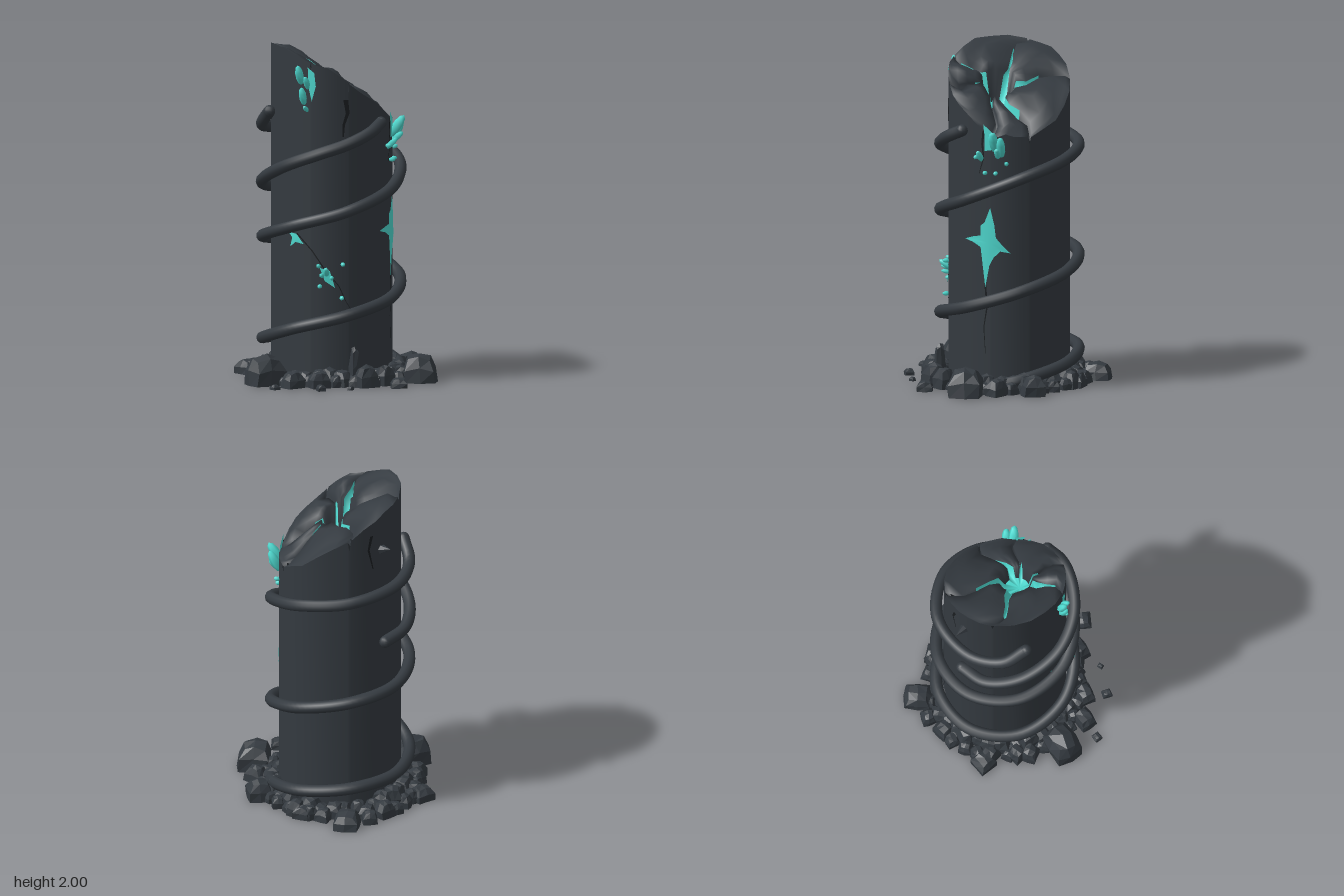
import * as THREE from 'three';

const R = 0.36;
const RAD = Math.PI / 180;

export function createModel() {
  const root = new THREE.Group();
  const mat = (name, color, opts = {}) => {
    const m = new THREE.MeshStandardMaterial({ color, ...opts });
    m.name = name;
    return m;
  };
  const stone = mat('dark stone', 0x343a40);
  const stoneFlat = mat('dark stone faceted', 0x343a40, { flatShading: true });
  const crystal = mat('teal crystal', 0x4fdcd2, { side: THREE.DoubleSide });
  const crackMat = mat('crack', 0x1a1d20, { side: THREE.DoubleSide });
  const under = mat('pale underside', 0xe2e3ea);

  let seed = 11;
  const rnd = () => (seed = (seed * 16807) % 2147483647) / 2147483647;
  const add = (name, geo, material, parent = root) => {
    const m = new THREE.Mesh(geo, material);
    m.name = name;
    parent.add(m);
    return m;
  };
  const group = (name) => {
    const g = new THREE.Group();
    g.name = name;
    root.add(g);
    return g;
  };
  const geometry = (pos, idx) => {
    const g = new THREE.BufferGeometry();
    g.setAttribute('position', new THREE.Float32BufferAttribute(pos, 3));
    g.setIndex(idx);
    g.computeVertexNormals();
    return g;
  };

  // Broken top: boulders around an off-centre crystal pool, split by winding clefts
  const C = [0, 0.09];
  // angle, reach of the teal vein (0..1), notch depth at the rim, vein half width
  const arms = [[11, 0.3, 0.04, 0.02], [86, 0.3, 0.09, 0.02], [133, 0.62, 0.05, 0.035],
    [217, 0.62, 0.04, 0.022], [270, 0.45, 0.06, 0.03], [335, 0.55, 0.04, 0.024]];
  const rings = [0.2, 0.29, 0.42, 0.6, 0.8, 0.94, 1];
  const lifts = [0.02, 0.02, 0.0, 0.035, 0.03, 0.0];
  const cols = [];
  arms.forEach(([a, reach, notch, wide], k) => {
    const after = arms[(k + 1) % arms.length];
    const span = (after[0] - a + 360) % 360;
    const halfWidth = (t, arm) => Math.max(0.008, arm[3] * (1.25 - t / arm[1]));
    for (let j = 0; j < 7; j++) {
      cols.push(rings.map((t, i) => {
        const edge = (arm) => Math.min(0.3, halfWidth(t, arm) / (0.36 * t) / RAD / span);
        const e0 = edge([a, reach, notch, wide]), e1 = edge(after);
        const u = j === 0 ? 0 : e0 + (1 - e0 - e1) * (j - 1) / 5;
        const th = (a + span * u) * RAD + 0.13 * Math.sin(2 * Math.PI * t);
        const dx = Math.cos(th), dz = Math.sin(th);
        const dot = C[1] * dz;
        const r = t * (-dot + Math.sqrt(dot * dot + R * R - C[1] * C[1]));
        const x = C[0] + r * dx, z = C[1] + r * dz;
        let y = 1.75 - 0.66 * x + 0.05 * (z / R) ** 2 + lifts[k] * Math.sin(Math.PI * t);
        if (j === 0) y -= 0.13 * (1 - t) + notch * t;
        else y += 0.04 * Math.sin(Math.PI * u) * Math.sin(Math.PI * t * 0.85) + (rnd() - 0.5) * 0.022;
        if (i === 0) y = 1.63 - 0.4 * x;
        return [x, Math.min(y, 2), z];
      }));
    }
  });
  const N = cols.length, M = rings.length;
  const pos = cols.flat(2);
  pos.push(C[0], 1.61, C[1]);
  const rockIdx = [], veinIdx = [];
  for (let c = 0; c < N; c++) {
    const d = (c + 1) % N, j = c % 7, k = Math.floor(c / 7);
    veinIdx.push(N * M, d * M, c * M);
    const arm = j === 0 ? arms[k] : j === 6 ? arms[(k + 1) % arms.length] : null;
    for (let i = 0; i < M - 1; i++) {
      const p = c * M + i, q = d * M + i;
      const list = arm && rings[i] < arm[1] ? veinIdx : rockIdx;
      list.push(p, q, q + 1, p, q + 1, p + 1);
    }
  }
  add('brokenTop', geometry(pos, rockIdx), stone);
  add('topCrystalVeins', geometry(pos, veinIdx), crystal);

  // Column wall follows the broken rim
  const wall = [], wallIdx = [];
  cols.forEach((col, c) => {
    const [x, y, z] = col[M - 1];
    wall.push(x, 0, z, x, y, z);
    const a = c * 2, b = ((c + 1) % N) * 2;
    wallIdx.push(a, a + 1, b + 1, a, b + 1, b);
  });
  add('columnWall', geometry(wall, wallIdx), stone);
  const base = add('underside', new THREE.CircleGeometry(0.39, 32), under);
  base.rotation.x = Math.PI / 2;
  base.position.y = 0.003;

  // Point on the wall: angle in degrees from +x towards +z, arc offset, height
  const onWall = (deg, s, y, off = 0.005) => {
    const th = deg * RAD + s / R;
    return [(R + off) * Math.cos(th), y, (R + off) * Math.sin(th)];
  };
  // Thin curved plate: outline [arc, height] around a centre
  const patch = (name, deg, y0, pts, material, off) => {
    const n = pts.length, p = [...onWall(deg, 0, y0, off)], idx = [];
    for (let k = 1; k <= 3; k++) pts.forEach(([s, y]) => p.push(...onWall(deg, s * k / 3, y0 + y * k / 3, off)));
    for (let i = 0; i < n; i++) {
      const j = (i + 1) % n;
      idx.push(0, 1 + i, 1 + j);
      for (let k = 0; k < 2; k++) {
        const a = 1 + k * n + i, b = 1 + k * n + j;
        idx.push(a, b + n, b, a, a + n, b + n);
      }
    }
    add(name, geometry(p, idx), material);
  };
  // Tapering dark fissure along [arc, height] points
  const crack = (deg, width, pts) => {
    const p = [], idx = [];
    pts.forEach(([s, y], i) => {
      const w = width * (1 - i / pts.length) / 2;
      p.push(...onWall(deg, s - w, y, 0.004), ...onWall(deg, s + w, y, 0.004));
      if (i) idx.push(2 * i - 2, 2 * i - 1, 2 * i + 1, 2 * i - 2, 2 * i + 1, 2 * i);
    });
    add('crack', geometry(p, idx), crackMat);
  };

  // Outlines run anticlockwise as seen from outside (arc grows to the viewer's left)
  const star = [[-0.01, 0.21], [0.025, 0.12], [0.05, 0.1], [0.05, 0.04], [0.1, 0.03], [0.16, 0.01], [0.1, -0.005],
    [0.05, -0.03], [0.04, -0.11], [0.02, -0.27], [-0.005, -0.14], [-0.03, -0.09], [-0.07, -0.05], [-0.13, -0.06],
    [-0.08, -0.01], [-0.045, 0.03], [-0.035, 0.11]];
  patch('sideVein', 27, 0.89, star, crystal, 0.006);
  patch('frontVein', 138, 0.865, [[0.055, 0.035], [0.03, 0.005], [0.045, -0.05], [0.005, -0.02], [-0.05, -0.03], [0, 0.03]], crystal);
  patch('frontLowVein', 108, 0.66, [[0.04, 0.04], [0.01, -0.04], [-0.05, -0.08], [-0.02, 0.02]], crystal);
  patch('frontHighVein', 122, 1.79, [[0.025, 0.1], [0.02, -0.02], [0, -0.1], [-0.025, -0.01], [-0.015, 0.07]], crystal);
  patch('sideHighVein', 26, 1.52, [[0.04, 0.08], [0.03, 0], [0.03, -0.08], [-0.02, -0.07], [-0.02, 0.03]], crystal);

  crack(90, 0.03, [[0, 1.7], [-0.012, 1.62], [0.012, 1.55], [0.015, 1.48]]);
  crack(90, 0.012, [[0.3, 0.9], [0.2, 0.8], [0.13, 0.7], [0.04, 0.59], [0, 0.5], [-0.05, 0.42]]);
  crack(27, 0.012, [[0.02, 0.63], [0.01, 0.5], [0.03, 0.38], [0.02, 0.22]]);
  crack(24, 0.016, [[0.05, 1.56], [0.06, 1.48], [0.05, 1.4], [0.08, 1.3]]);
  crack(248, 0.02, [[0, 1.82], [0.02, 1.73], [-0.01, 1.6]]);

  // Crystal shards growing outwards: angle, arc, height, length, upward tilt
  const crystals = group('crystalShards');
  const shard = (deg, s, y, len, tilt) => {
    const m = add('shard', new THREE.SphereGeometry(1, 6, 5), crystal, crystals);
    const w = Math.max(0.014, len * 0.19);
    m.scale.set(w, len / 2, w);
    m.position.set(...onWall(deg, s, y, 0.008 + len * 0.13));
    const th = deg * RAD + s / R;
    const dir = new THREE.Vector3(Math.cos(th), tilt, Math.sin(th)).normalize();
    m.quaternion.setFromUnitVectors(new THREE.Vector3(0, 1, 0), dir);
  };
  [[128, 0.03, 1.845, 0.13, 2.5], [126, 0, 1.8, 0.1, 1.5], [128, 0.01, 1.72, 0.12, 2.5], [127, 0, 1.645, 0.07, 0.6],
    [18, 0.02, 1.5, 0.16, 1.5], [18, -0.02, 1.47, 0.15, 2], [18, 0.0, 1.43, 0.11, 0.8], [33, 0.01, 1.41, 0.1, 1],
    [30, 0, 1.31, 0.04, 0], [20, 0, 1.31, 0.035, 0], [10, 0, 1.37, 0.04, 0.3], [36, 0.02, 1.4, 0.04, 0],
    [108, 0, 0.675, 0.1, 0.7], [108, 0.025, 0.655, 0.08, 0.2], [108, -0.03, 0.64, 0.06, 0.2], [114, 0, 0.59, 0.045, 0],
    [93, 0, 0.72, 0.045, 0], [94, 0, 0.52, 0.045, 0], [112, 0.02, 0.71, 0.045, 0.3]].forEach((a) => shard(...a));

  // Spiral roots wrapped around the column, as [angle, height] stations
  const root1 = [[18, 0.04], [0, 0.07], [-45, 0.14], [-90, 0.19], [-135, 0.21], [-180, 0.25], [-225, 0.34], [-270, 0.42],
    [-315, 0.5], [-360, 0.6], [-405, 0.69], [-450, 0.76], [-495, 0.8], [-540, 0.86], [-585, 0.95], [-630, 1.04],
    [-675, 1.15], [-720, 1.28], [-765, 1.37], [-810, 1.42], [-855, 1.46], [-885, 1.51], [-905, 1.6]];
  const root2 = [[-125, 1.1], [-150, 1.13], [-180, 1.2], [-215, 1.3], [-245, 1.38], [-270, 1.44], [-290, 1.5], [-306, 1.55]];
  const wrap = (name, stations) => {
    const g = group(name);
    const last = stations.length - 1;
    const pts = stations.map(([deg, y], i) => {
      const r = i === last || i === 0 ? 0.385 : 0.41;
      return new THREE.Vector3(r * Math.cos(deg * RAD), y, r * Math.sin(deg * RAD));
    });
    const curve = new THREE.CatmullRomCurve3(pts);
    add('rootCoil', new THREE.TubeGeometry(curve, last * 9, 0.036, 10), stone, g);
    [0, 1].forEach((t) => {
      const tip = add('rootTip', new THREE.SphereGeometry(0.036, 10, 8), stone, g);
      tip.position.copy(curve.getPoint(t));
    });
  };
  wrap('longSpiralRoot', root1);
  wrap('shortSpiralRoot', root2);
  const thorn = add('backThorn', new THREE.ConeGeometry(0.035, 0.1, 6), stoneFlat);
  thorn.position.set(-0.22, 1.72, -0.32);
  thorn.quaternion.setFromUnitVectors(new THREE.Vector3(0, 1, 0), new THREE.Vector3(-0.55, 0.3, -0.78).normalize());

  // Rubble around the foot: blocks with worn corners and narrower tops
  const rubble = group('rubble');
  const rock = (x, z, w, h, d, turn) => {
    const g = new THREE.BoxGeometry(1, 1, 1, 2, 2, 2);
    const p = g.attributes.position, v = new THREE.Vector3(), jit = new Map();
    for (let i = 0; i < p.count; i++) {
      v.fromBufferAttribute(p, i);
      const key = `${v.x},${v.y},${v.z}`;
      if (!jit.has(key)) jit.set(key, [rnd(), rnd(), rnd()].map((n) => (n - 0.5) * 0.1));
      const j = jit.get(key), up = v.y + 0.5;
      const round = 1 - 0.13 * Math.max(0, v.lengthSq() / 0.25 - 1);
      const taper = (1 - 0.36 * up * up) * (0.55 + round / 2);
      p.setXYZ(i, (v.x * taper + j[0]) * w, up === 0 ? 0 : (up * (0.35 + round * 0.65) + j[1]) * h, (v.z * taper + j[2]) * d);
    }
    g.computeVertexNormals();
    const m = add('rock', g, stoneFlat, rubble);
    m.position.set(x, 0, z);
    m.rotation.y = turn;
  };
  [[0.46, 0.32, 0.2, 0.17, 0.2, -0.25], [-0.46, 0.235, 0.22, 0.18, 0.18, 0.3], [0.5, -0.08, 0.14, 0.12, 0.14, 0.1],
    [0.04, -0.52, 0.16, 0.1, 0.16, -0.3], [0.1, 0.46, 0.13, 0.13, 0.13, 0.3], [0.28, 0.54, 0.1, 0.06, 0.1, -0.15],
    [-0.2, 0.57, 0.05, 0.04, 0.06, 0.1], [-0.45, 0.45, 0.05, 0.03, 0.05, 0.4], [-0.02, 0.575, 0.035, 0.025, 0.03, 0.7],
    [0.04, 0.42, 0.06, 0.24, 0.07, 0.2], [-0.1, -0.49, 0.09, 0.08, 0.08, 0], [-0.27, -0.39, 0.09, 0.07, 0.08, 0.2],
    [-0.45, -0.24, 0.13, 0.09, 0.12, 0.5], [0.48, 0.14, 0.1, 0.1, 0.12, 0.7], [-0.33, 0.4, 0.12, 0.1, 0.11, 0.4],
    [0.28, -0.37, 0.12, 0.08, 0.09, -0.5], [-0.18, 0.44, 0.12, 0.1, 0.1, 0.2], [0.22, 0.42, 0.1, 0.12, 0.1, 0.6]].forEach((a) => rock(...a));
  for (let ring = 0; ring < 2; ring++) {
    const n = ring ? 34 : 32;
    for (let i = 0; i < n; i++) {
      const th = (i + rnd() * 0.6) / n * Math.PI * 2;
      const r = (ring ? 0.45 : 0.385) + (rnd() - 0.5) * 0.04;
      const s = (ring ? 0.07 : 0.09) + rnd() * 0.035;
      rock(r * Math.cos(th), r * Math.sin(th), s, s * (0.6 + rnd() * 0.5), s, rnd() * 3);
    }
  }
  return root;
}
